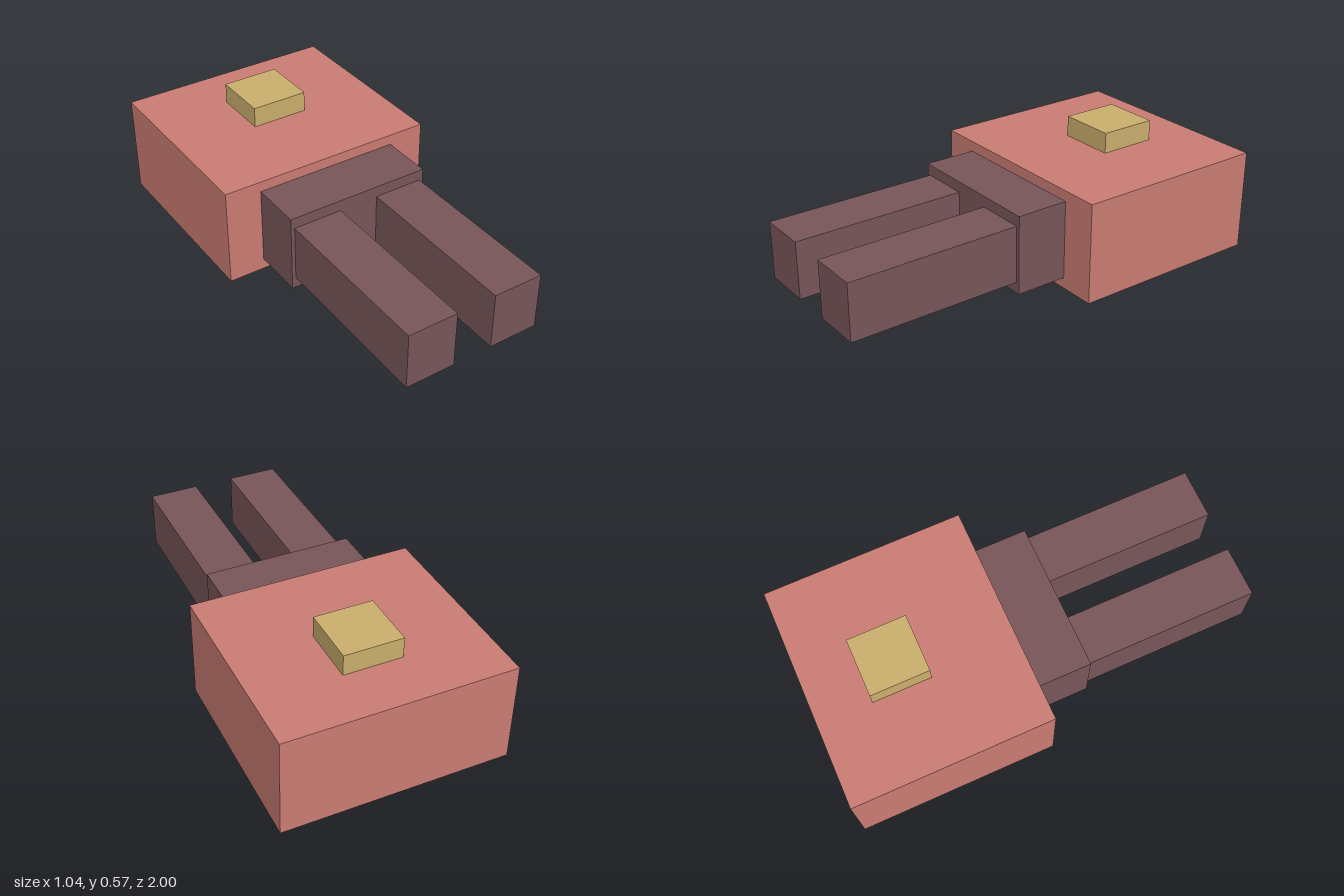
import * as THREE from 'three';

function material(name, color) {
  const m = new THREE.MeshStandardMaterial({ color });
  m.name = name;
  return m;
}

// Box given by its lower and upper corners
function block(name, mat, [x0, y0, z0], [x1, y1, z1]) {
  const mesh = new THREE.Mesh(new THREE.BoxGeometry(x1 - x0, y1 - y0, z1 - z0), mat);
  mesh.position.set((x0 + x1) / 2, (y0 + y1) / 2, (z0 + z1) / 2);
  mesh.name = name;
  return mesh;
}

export function createModel() {
  const red = material('dusty red', 0xca7c73);
  const brown = material('dark brown', 0x785659);
  const gold = material('gold', 0xcaae6c);

  const model = new THREE.Group();
  model.name = 'plug';

  // Main housing with a raised button on top
  model.add(block('housing', red, [-0.522, 0, -1], [0.522, 0.476, -0.066]));
  model.add(block('button', gold, [-0.136, 0.476, -0.748], [0.136, 0.574, -0.474]));

  // Narrower collar in front of the housing
  model.add(block('collar', brown, [-0.349, 0.052, -0.066], [0.349, 0.426, 0.184]));

  // Pair of prongs
  for (const [side, x] of [['left', 0.213], ['right', -0.213]]) {
    model.add(block(side + 'Prong', brown, [x - 0.118, 0.104, 0.184], [x + 0.118, 0.374, 1]));
  }

  return model;
}
